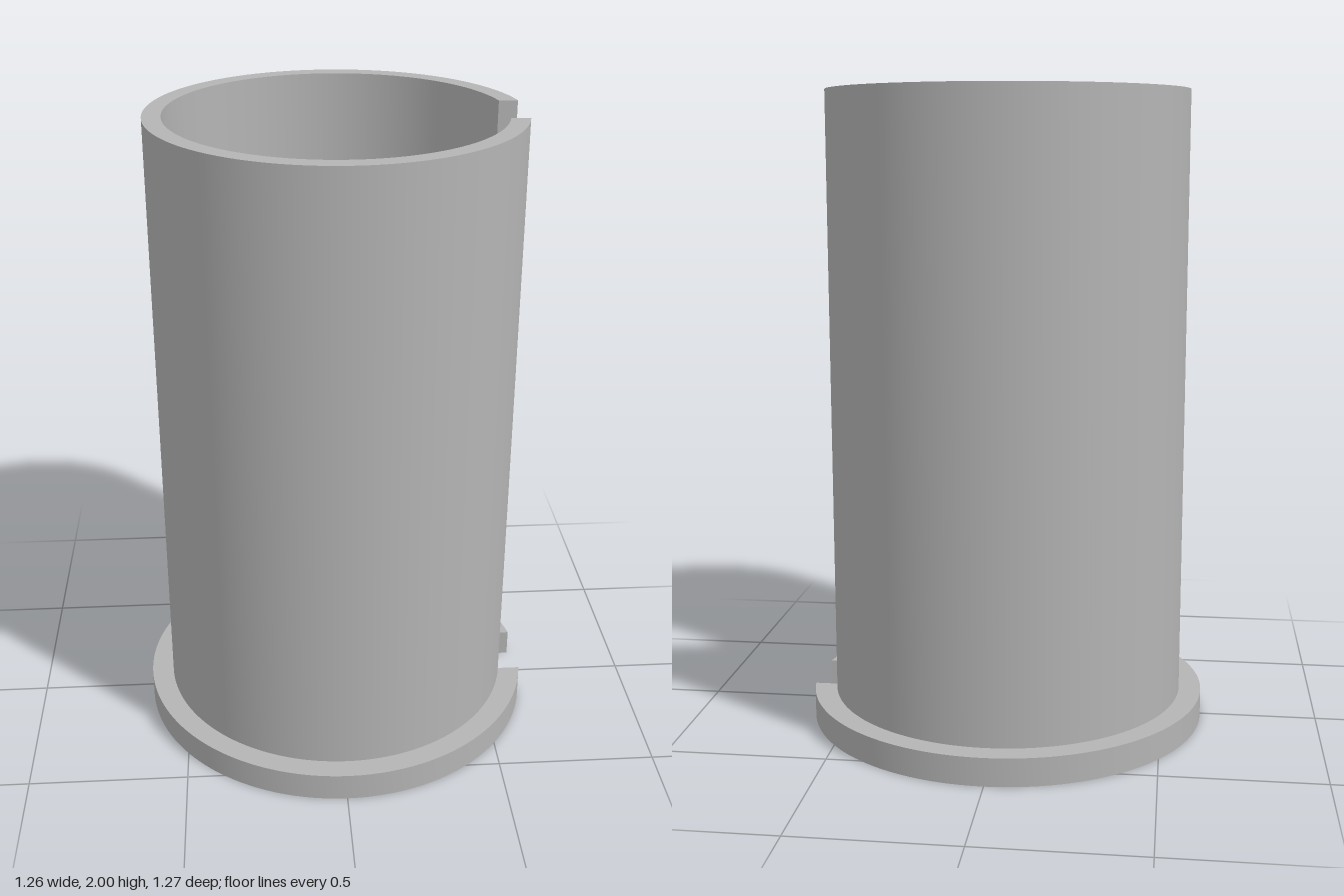
import * as THREE from 'three';
import { toCreasedNormals } from 'three/addons/utils/BufferGeometryUtils.js';

const INNER = 0.506, SLEEVE = 0.5625, FLANGE = 0.633; // radii
const HEIGHT = 2, FLANGE_HEIGHT = 0.088;
const HALF_SLOT = 0.1055; // half width of the parallel-sided slot on +x
const CENTRE_X = 0.0045; // centres the slotted ring on x = 0

// Ring with a parallel-sided slot, standing from y0 to y1
function slottedRing(name, outer, y0, y1, material) {
  const a = Math.asin(HALF_SLOT / outer);
  const b = Math.asin(HALF_SLOT / INNER);
  const shape = new THREE.Shape();
  shape.absarc(0, 0, outer, a, 2 * Math.PI - a, false);
  shape.absarc(0, 0, INNER, 2 * Math.PI - b, b, true);
  shape.closePath();

  const solid = new THREE.ExtrudeGeometry(shape, {
    depth: y1 - y0, bevelEnabled: false, curveSegments: 64,
  });
  solid.rotateX(-Math.PI / 2);
  solid.translate(CENTRE_X, y0, 0);
  const mesh = new THREE.Mesh(toCreasedNormals(solid, Math.PI / 6), material);
  mesh.name = name;
  return mesh;
}

export function createModel() {
  const grey = new THREE.MeshStandardMaterial({ color: 0xb4b4b4 });
  grey.name = 'grey';

  const group = new THREE.Group();
  group.name = 'slottedFlangedBushing';
  group.add(
    slottedRing('flange', FLANGE, 0, FLANGE_HEIGHT, grey),
    slottedRing('sleeve', SLEEVE, FLANGE_HEIGHT, HEIGHT, grey),
  );
  return group;
}
